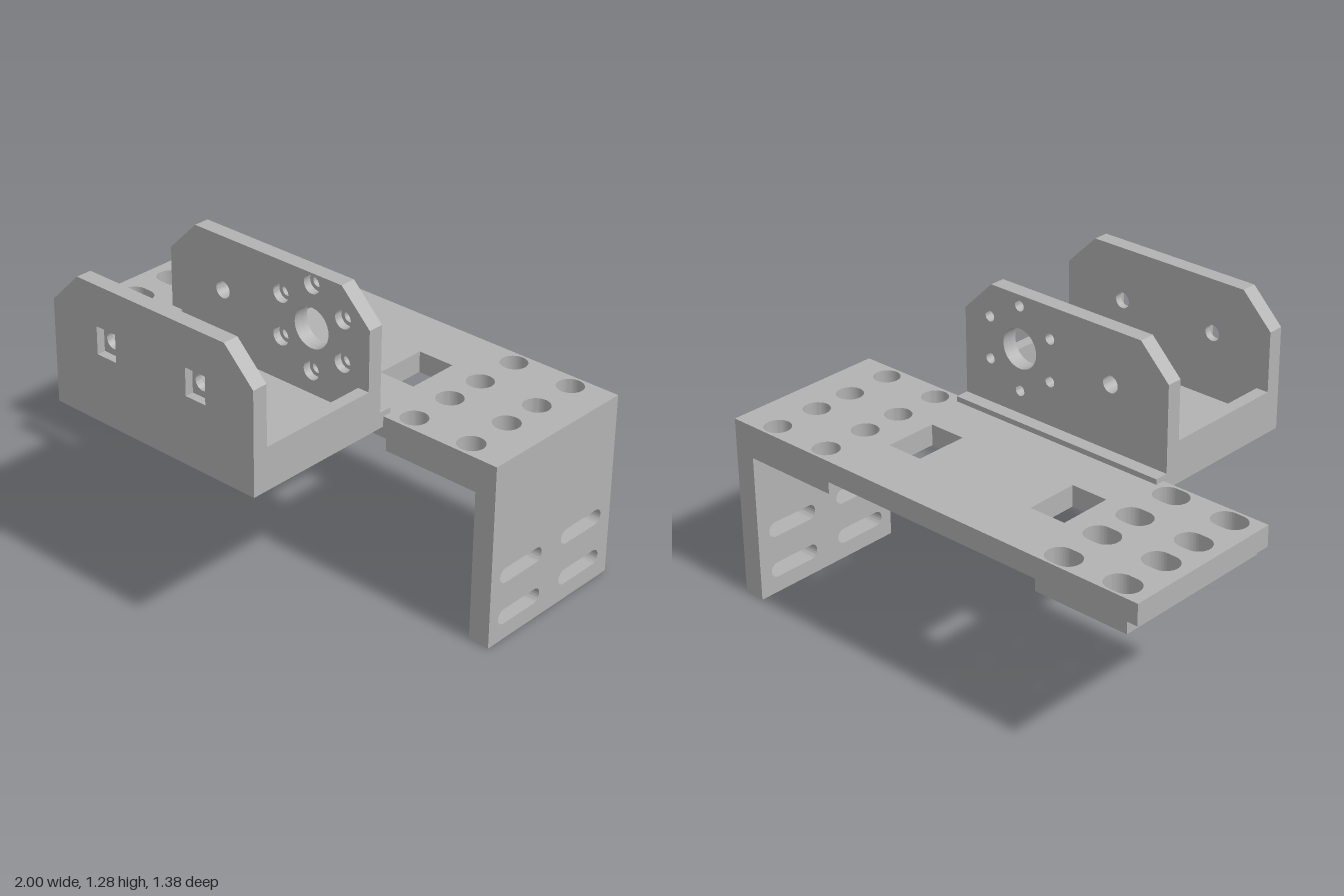
import * as THREE from 'three';
import { toCreasedNormals } from 'three/addons/utils/BufferGeometryUtils.js';

const metal = new THREE.MeshStandardMaterial({ color: 0xb2b2b2 });
metal.name = 'grey metal';

const polygon = (pts) => new THREE.Shape(pts.map(([x, y]) => new THREE.Vector2(x, y)));
const rect = (x0, x1, y0, y1) => polygon([[x0, y0], [x1, y0], [x1, y1], [x0, y1]]);

// Horizontal slot of total half length h and end radius r; h = r gives a circle
function slot(x, y, r, h = r) {
  const s = new THREE.Shape();
  const d = h - r;
  if (d < 0.001) return s.absarc(x, y, r, 0, Math.PI * 2), s;
  s.absarc(x + d, y, r, -Math.PI / 2, Math.PI / 2);
  s.absarc(x - d, y, r, Math.PI / 2, Math.PI * 1.5);
  s.closePath();
  return s;
}

function extrude(shape, holes, depth) {
  shape.holes.push(...holes);
  return new THREE.ExtrudeGeometry(shape, { depth, bevelEnabled: false, curveSegments: 16 });
}

function addMesh(group, name, geometry) {
  const mesh = new THREE.Mesh(toCreasedNormals(geometry, 0.6), metal);
  mesh.name = name;
  group.add(mesh);
}

// Horizontal slab between two heights, outline given as x and -z
const slab = (shape, holes, y0, y1) =>
  extrude(shape, holes, y1 - y0).rotateX(-Math.PI / 2).translate(0, y0, 0);

function createMountingPlate() {
  const g = new THREE.Group();
  g.name = 'mountingPlate';
  const back = 0.69, front = -0.017;
  const rows = [0.625, 0.425, 0.25, 0.05];
  const leftX = [0.565, 0.83], rightX = [-0.88, -0.615];
  const grid = (xs, r, h) => xs.flatMap((x) => rows.map((v) => slot(x, v, r, h)));

  // Top sheet with wide recesses and two rectangular windows
  addMesh(g, 'topPlate', slab(rect(-1, 0.91, front, back), [
    ...grid(leftX, 0.054), ...grid(rightX, 0.055, 0.073),
    rect(-0.46, -0.30, 0.225, 0.45), rect(0.25, 0.41, 0.225, 0.45),
  ], 0.68, 0.768));

  // Thick pads under the fixing holes
  addMesh(g, 'rightPad', slab(rect(-0.955, -0.54, front, back), grid(rightX, 0.03, 0.05), 0.63, 0.68));
  addMesh(g, 'leftPad', slab(rect(0.49, 0.91, front, back), grid(leftX, 0.033), 0.63, 0.68));

  // Upright side leg, outline given as -z and y
  const legSlots = [0.155, 0.512].flatMap((v) => [0.1, 0.28].map((y) => slot(v, y, 0.032, 0.121)));
  addMesh(g, 'sideLeg', extrude(rect(front, back, 0, 0.768), legSlots, 0.09)
    .rotateY(Math.PI / 2).translate(0.91, 0, 0));
  return g;
}

function createBracket() {
  const g = new THREE.Group();
  g.name = 'bracket';
  const x0 = -0.522, x1 = 0.475, holeY = 1.06;
  const holeX = [-0.25, 0.197];

  // Floor with a narrow flange over the plate
  addMesh(g, 'bracketFloor', slab(rect(x0, x1, -0.69, 0.022), [], 0.725, 0.79));

  // Low lips along both open sides
  for (const [name, a, b] of [['rightLip', x0, -0.47], ['leftLip', 0.425, x1]])
    addMesh(g, name, slab(rect(a, b, -0.627, -0.098), [], 0.79, 0.9));

  // Walls with clipped corners, each in two layers so the holes can be stepped
  const wall = (holes, z0, z1) => extrude(polygon([
    [x0, 0.79], [x1, 0.79], [x1, 1.147], [0.34, 1.28], [-0.39, 1.28], [x0, 1.147],
  ]), holes, z1 - z0).translate(0, 0, z0);

  addMesh(g, 'frontWallInner', wall(holeX.map((x) => slot(x, holeY, 0.033)), 0.625, 0.655));
  addMesh(g, 'frontWallOuter', wall(
    holeX.map((x) => rect(x - 0.048, x + 0.048, 1.002, 1.115)), 0.655, 0.69));

  // Shaft hole with a ring of six stepped screw holes, plus one spare hole
  const backHoles = (r) => {
    const ring = [0, 1, 2, 3, 4, 5].map((i) => {
      const a = Math.PI / 6 + i * Math.PI / 3;
      return slot(holeX[1] + 0.175 * Math.cos(a), holeY + 0.175 * Math.sin(a), r);
    });
    return [slot(holeX[1], holeY, 0.083), slot(holeX[0], holeY, 0.035), ...ring];
  };
  addMesh(g, 'backWallOuter', wall(backHoles(0.022), 0.035, 0.067));
  addMesh(g, 'backWallInner', wall(backHoles(0.038), 0.067, 0.1));
  return g;
}

export function createModel() {
  const model = new THREE.Group();
  model.name = 'motorMount';
  model.add(createMountingPlate(), createBracket());
  return model;
}
